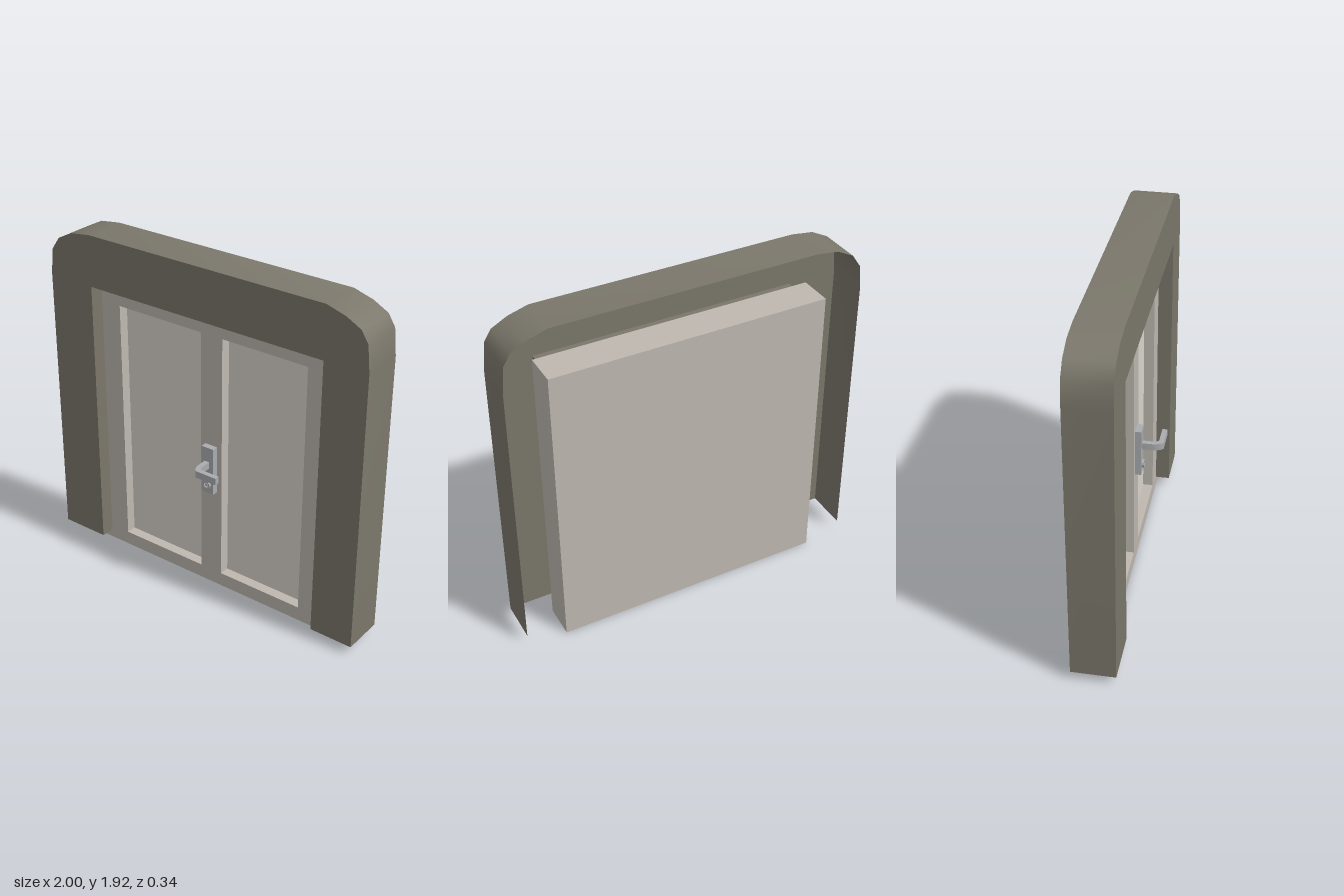
import * as THREE from 'three';
import { toCreasedNormals } from 'three/addons/utils/BufferGeometryUtils.js';

const material = (color, side = THREE.FrontSide) => new THREE.MeshStandardMaterial({ color, side });
const frameMat = material(0x7b776b, THREE.DoubleSide);
const doorMat = material(0xbeb8b0);
const panelMat = material(0xdad5ce);
const metalMat = material(0xaaacaf);

function add(parent, name, geometry, mat) {
  const mesh = new THREE.Mesh(geometry, mat);
  mesh.name = name;
  parent.add(mesh);
  return mesh;
}

// Box from its lower and upper limits
function box(x0, x1, y0, y1, z0, z1) {
  return new THREE.BoxGeometry(x1 - x0, y1 - y0, z1 - z0)
    .translate((x0 + x1) / 2, (y0 + y1) / 2, (z0 + z1) / 2);
}

function rectPoints(x0, x1, y0, y1) {
  return [[x0, y0], [x1, y0], [x1, y1], [x0, y1]].map(([x, y]) => new THREE.Vector2(x, y));
}

// Open wall that follows an outline between two depths
function strip(points, zBack, zFront) {
  const pos = [];
  for (let i = 0; i < points.length - 1; i++) {
    const [p, q] = [points[i], points[i + 1]];
    const a = [p.x, p.y, zBack], b = [p.x, p.y, zFront];
    const c = [q.x, q.y, zFront], d = [q.x, q.y, zBack];
    pos.push(...a, ...b, ...c, ...a, ...c, ...d);
  }
  const geometry = new THREE.BufferGeometry();
  geometry.setAttribute('position', new THREE.Float32BufferAttribute(pos, 3));
  geometry.computeVertexNormals();
  return toCreasedNormals(geometry, 0.7);
}

export function createModel() {
  const model = new THREE.Group();
  model.name = 'doorway';

  // Surround: hollow shell, open at the back and at the bottom
  const surround = new THREE.Group();
  surround.name = 'surround';
  model.add(surround);
  const outer = [
    [-1, 0.05], [-1, 1.64], [-0.987, 1.785], [-0.935, 1.86], [-0.84, 1.908], [-0.715, 1.925],
    [0.75, 1.925], [0.86, 1.893], [0.945, 1.848], [0.985, 1.785], [1, 1.64], [1, 0.05],
  ].map(([x, y]) => new THREE.Vector2(x, y));
  const inner = [[0.75, 0.05], [0.75, 1.635], [-0.715, 1.635], [-0.715, 0.05]]
    .map(([x, y]) => new THREE.Vector2(x, y));
  const face = new THREE.ShapeGeometry(new THREE.Shape([...outer, ...inner])).translate(0, 0, 0.1);
  add(surround, 'surroundFace', face, frameMat);
  add(surround, 'outerRim', strip(outer, -0.14, 0.1), frameMat);
  add(surround, 'openingReveal', strip(inner, 0.02, 0.1), frameMat);

  // Door: solid slab with a frame layer that leaves two sunken panels
  const door = new THREE.Group();
  door.name = 'door';
  model.add(door);
  const panels = [[-0.59, -0.042], [0.096, 0.615]];
  const leaf = new THREE.Shape(rectPoints(-0.765, 0.785, 0, 1.67));
  for (const [x0, x1] of panels) leaf.holes.push(new THREE.Path(rectPoints(x0, x1, 0.082, 1.53)));
  const leafGeometry = new THREE.ExtrudeGeometry(leaf, { depth: 0.06, bevelEnabled: false });
  add(door, 'doorFrame', leafGeometry.translate(0, 0, -0.04), doorMat);
  add(door, 'doorSlab', box(-0.765, 0.785, 0, 1.67, -0.17, -0.04), doorMat);
  for (const [x0, x1] of panels) {
    add(door, 'sunkenPanel', box(x0, x1, 0.082, 1.53, -0.05, -0.038), panelMat);
  }

  // Handle: back plate, bent lever and lock
  const handle = new THREE.Group();
  handle.name = 'handle';
  model.add(handle);
  add(handle, 'backPlate', box(-0.012, 0.066, 0.607, 0.887, 0.02, 0.055), metalMat);

  const lever = new THREE.Shape();
  lever.moveTo(0.01, 0.05);
  lever.lineTo(0.038, 0.05);
  lever.lineTo(0.038, 0.105);
  lever.quadraticCurveTo(0.04, 0.135, 0.05, 0.142);
  lever.lineTo(0.167, 0.142);
  lever.lineTo(0.167, 0.17);
  lever.lineTo(0.037, 0.17);
  lever.quadraticCurveTo(0.012, 0.15, 0.01, 0.105);
  const leverGeometry = new THREE.ExtrudeGeometry(lever, { depth: 0.04, bevelEnabled: false, curveSegments: 5 });
  leverGeometry.rotateX(Math.PI / 2).translate(0, 0.802, 0);
  add(handle, 'lever', toCreasedNormals(leverGeometry, 0.6), metalMat);

  // Lock ring with a small core inside
  const ring = new THREE.Shape().absarc(0, 0, 0.024, 0, Math.PI * 2);
  ring.holes.push(new THREE.Path().absarc(0, 0, 0.015, 0, Math.PI * 2, true));
  const ringGeometry = new THREE.ExtrudeGeometry(ring, { depth: 0.012, bevelEnabled: false, curveSegments: 5 });
  add(handle, 'lockRing', ringGeometry, metalMat).position.set(0.027, 0.66, 0.055);
  const core = new THREE.CylinderGeometry(0.009, 0.009, 0.01, 8).rotateX(Math.PI / 2);
  add(handle, 'lockCore', core, metalMat).position.set(0.027, 0.66, 0.06);

  return model;
}
